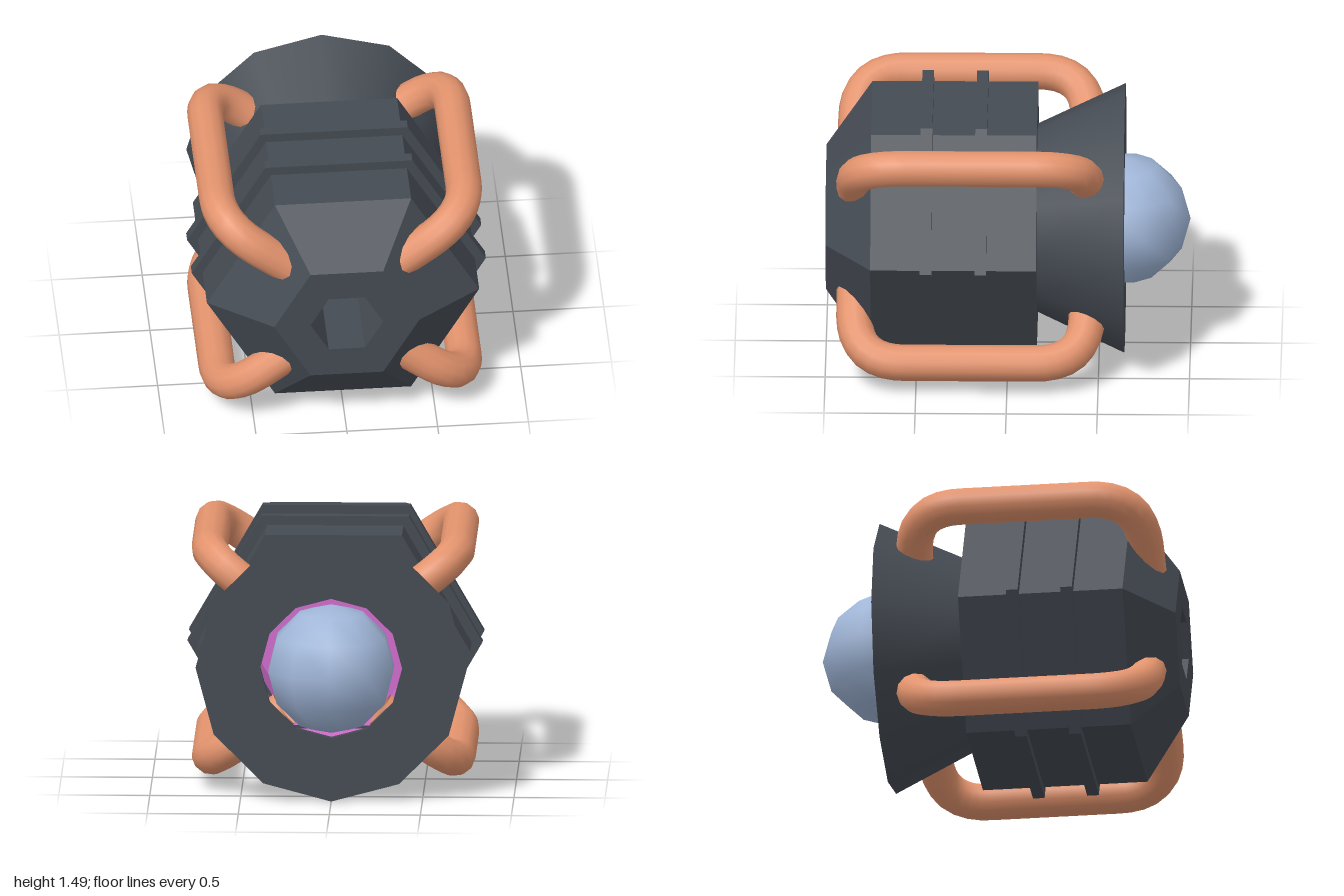
import * as THREE from 'three';

const AXIS_Y = 0.75;

export function createModel() {
  const model = new THREE.Group();
  model.name = 'cagedThruster';
  const material = (name, color, options = {}) => {
    const m = new THREE.MeshStandardMaterial({ color, ...options });
    m.name = name;
    return m;
  };
  const darkFlat = material('charcoal', 0x454b53, { flatShading: true });
  const darkSmooth = material('charcoalSmooth', 0x454b53);
  const copper = material('copper', 0xe3936d, { side: THREE.DoubleSide });
  const pink = material('pink', 0xd06ccc, { flatShading: true, side: THREE.DoubleSide });
  const blue = material('paleBlue', 0xa0b6d8);

  const add = (name, geometry, mat) => {
    const mesh = new THREE.Mesh(geometry, mat);
    mesh.name = name;
    mesh.position.y = AXIS_Y;
    model.add(mesh);
    return mesh;
  };
  // Turns a [radius, z] profile around the z axis, with corners on +x and -x
  const turned = (name, profile, sides, mat) => {
    const points = profile.map(([r, z]) => new THREE.Vector2(r, z));
    const geometry = new THREE.LatheGeometry(points, sides, Math.PI / 2);
    return add(name, geometry.rotateX(Math.PI / 2), mat);
  };

  // Hexagonal body with a tapered nose and a deep hexagonal port
  turned('body', [[0.48, -0.16], [0.75, -0.16], [0.75, 0.75], [0.4, 1], [0.2, 1], [0.2, 0.3]], 6, darkFlat);
  for (const z of [0.145, 0.445]) {
    turned('bodyBand', [[0.74, z - 0.032], [0.81, z - 0.032], [0.81, z + 0.032], [0.74, z + 0.032]], 6, darkFlat);
  }

  // Glowing chamber and the plate at the end of the port
  turned('chamber', [[0.5, -0.6], [0.5, 0.29], [0, 0.29]], 6, pink);
  add('portPlate', new THREE.CircleGeometry(0.2, 6).translate(0, 0, 0.301), pink);

  // Flared skirt, closed at the back by a ring around the dome
  turned('skirt', [[0.745, -0.64], [0.52, -0.16]], 12, darkSmooth);
  turned('skirtBack', [[0.39, -0.6], [0.39, -0.64], [0.745, -0.64]], 12, darkFlat);
  const dome = add('dome', new THREE.SphereGeometry(0.36, 10, 6).rotateY(Math.PI / 2), blue);
  dome.position.z = -0.64;

  // Four bent handles, mirrored left-right and top-bottom
  for (const sx of [1, -1]) {
    for (const sy of [1, -1]) {
      const p = (s, z) => new THREE.Vector3(sx * (0.68 + 0.8 * s), sy * (0.58 + 0.6 * s), z);
      const path = new THREE.CurvePath();
      path.add(new THREE.LineCurve3(p(-0.52, 0.84), p(-0.3, 0.84)));
      path.add(new THREE.QuadraticBezierCurve3(p(-0.3, 0.84), p(0, 0.84), p(0, 0.56)));
      path.add(new THREE.LineCurve3(p(0, 0.56), p(0, -0.16)));
      path.add(new THREE.QuadraticBezierCurve3(p(0, -0.16), p(0, -0.435), p(-0.3, -0.435)));
      path.add(new THREE.LineCurve3(p(-0.3, -0.435), p(-0.52, -0.435)));
      add('handle', new THREE.TubeGeometry(path, 36, 0.1, 12), copper);
    }
  }
  return model;
}
